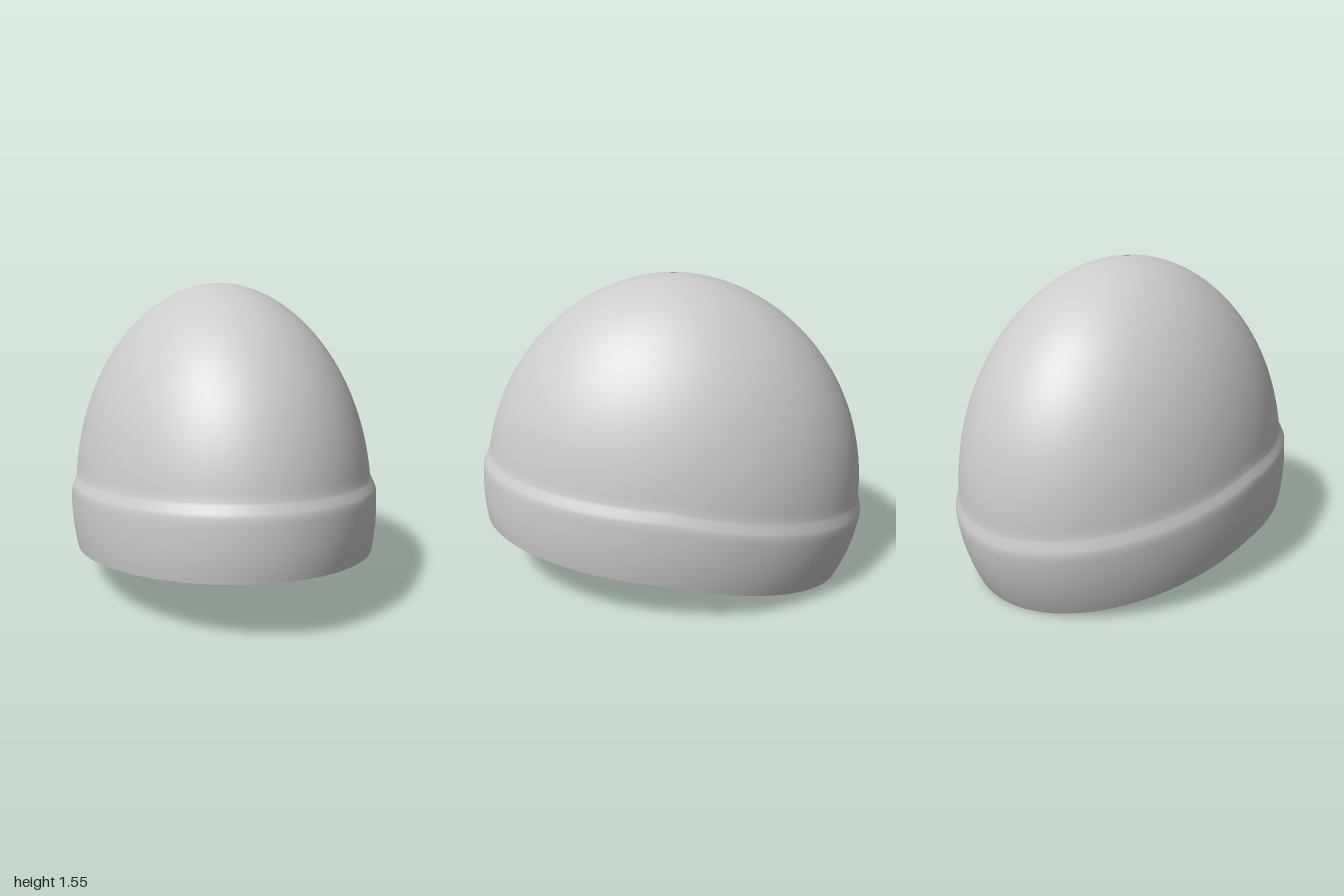
import * as THREE from 'three';

const SEGMENTS = 96, DOME_ROWS = 40, STEP_ROWS = 4, BAND_ROWS = 10;
const RX = 0.745, RZ = 0.98, MID_Y = 0.45, UP = 1.1, DOWN = 0.95;
const LIP = 0.024; // how far the band stands out from the dome

// Height that slopes separately towards the front and the back
const slope = (front, side, back) => (c) => side + (c > 0 ? (front - side) * c : (side - back) * c);
const domeBase = slope(0.65, 0.59, 0.41);
const bandTop = slope(0.59, 0.525, 0.33);
const rim = slope(0.3, 0.21, 0);

// Relative radius of the oval shell at height y
function spread(y) {
  const t = (y - MID_Y) / (y > MID_Y ? UP : DOWN);
  return Math.sqrt(Math.max(0, 1 - t * t)) * (t > 0 ? 1 - 0.04 * t ** 4 : 1);
}

// Height and outward offset of each row, from the crown hole down to the rim
function rowPoint(j, c) {
  if (j <= DOME_ROWS) {
    const low = Math.asin((domeBase(c) - MID_Y) / UP);
    const high = Math.PI / 2 - 0.016;
    return [MID_Y + UP * Math.sin(THREE.MathUtils.lerp(high, low, j / DOME_ROWS)), 0];
  }
  if (j <= DOME_ROWS + STEP_ROWS) {
    const k = (j - DOME_ROWS) / STEP_ROWS;
    return [THREE.MathUtils.lerp(domeBase(c), bandTop(c), k), LIP * k];
  }
  const k = (j - DOME_ROWS - STEP_ROWS) / BAND_ROWS;
  return [THREE.MathUtils.lerp(bandTop(c), rim(c), k), LIP];
}

function shellGeometry() {
  const rows = DOME_ROWS + STEP_ROWS + BAND_ROWS;
  const positions = [], index = [];
  for (let j = 0; j <= rows; j++) {
    for (let i = 0; i < SEGMENTS; i++) {
      const a = (i / SEGMENTS) * Math.PI * 2;
      const s = Math.sin(a), c = Math.cos(a);
      const [y, offset] = rowPoint(j, c);
      const r = spread(y);
      positions.push(s * (RX * r + offset), y, c * (RZ * r + offset));
      if (j === rows) continue;
      const n = (i + 1) % SEGMENTS;
      const p = j * SEGMENTS + i, q = j * SEGMENTS + n;
      index.push(p, p + SEGMENTS, q, q, p + SEGMENTS, q + SEGMENTS);
    }
  }
  const geometry = new THREE.BufferGeometry();
  geometry.setAttribute('position', new THREE.Float32BufferAttribute(positions, 3));
  geometry.setIndex(index);
  geometry.computeVertexNormals();
  return geometry;
}

export function createModel() {
  const group = new THREE.Group();
  group.name = 'cap';
  // Open shell: dome, stepped band and slanted rim in one smooth skin
  const material = new THREE.MeshStandardMaterial({ color: 0xcccccc, side: THREE.DoubleSide });
  const shell = new THREE.Mesh(shellGeometry(), material);
  shell.name = 'capShell';
  group.add(shell);
  return group;
}
